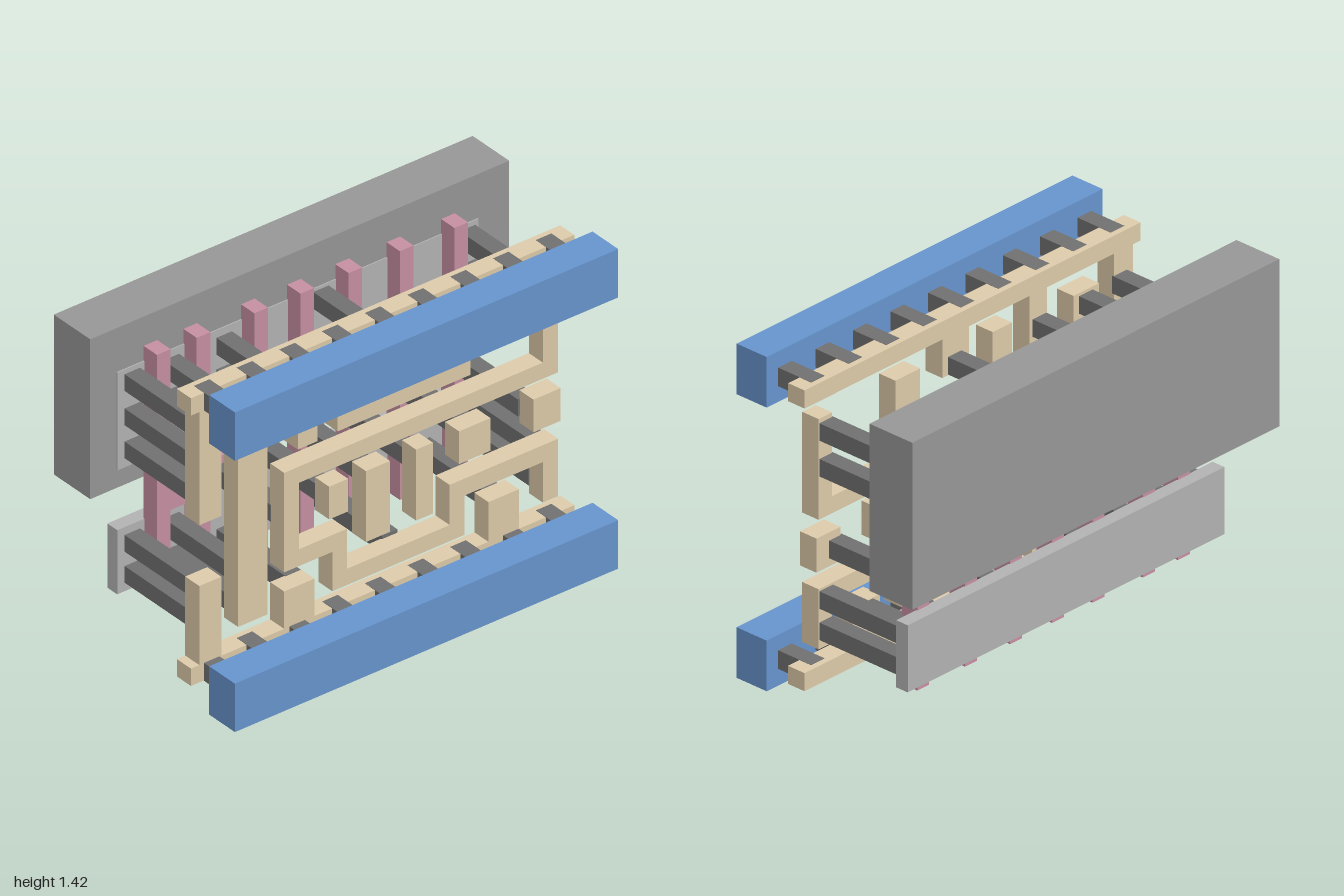
import * as THREE from 'three';

const mat = (color) => new THREE.MeshStandardMaterial({ color });

export function createModel() {
  const root = new THREE.Group();
  root.name = 'layeredCircuitCell';
  const blue = mat(0x6694cc), tan = mat(0xdccaa9), pink = mat(0xc58fa2);
  const wellGrey = mat(0x969696), stripGrey = mat(0xb2b2b2), dark = mat(0x707070);

  // box given by its limits on each axis
  const box = (name, m, x0, x1, y0, y1, z0, z1) => {
    const mesh = new THREE.Mesh(new THREE.BoxGeometry(x1 - x0, y1 - y0, z1 - z0), m);
    mesh.position.set((x0 + x1) / 2, (y0 + y1) / 2, (z0 + z1) / 2);
    mesh.name = name;
    root.add(mesh);
  };
  // flat wiring outline extruded through the wiring layer
  const W0 = 0.145, W1 = 0.23;
  const trace = (name, pts) => {
    const shape = new THREE.Shape(pts.map(([x, y]) => new THREE.Vector2(x, y)));
    const geo = new THREE.ExtrudeGeometry(shape, { depth: W1 - W0, bevelEnabled: false });
    const mesh = new THREE.Mesh(geo, tan);
    mesh.position.z = W0;
    mesh.name = name;
    root.add(mesh);
  };

  // back slab and the two strips
  box('backSlab', wellGrey, -1, 1, 0.685, 1.395, -0.49, -0.27);
  box('upperStrip', stripGrey, -0.875, 0.85, 0.765, 1.2, -0.325, -0.265);
  box('lowerStrip', stripGrey, -0.875, 0.85, 0.215, 0.5, -0.325, -0.265);

  // front power rails, their wiring bars and the pegs joining them
  for (const [y0, barY] of [[0, 0.072], [1.205, 1.273]]) {
    box('powerRail', blue, -0.915, 0.915, y0, y0 + 0.215, 0.34, 0.495);
    box('railBar', tan, -0.915, 0.915, barY, barY + 0.077, W0, W1);
    for (let i = -4; i <= 4; i++) {
      const x = i * 0.204;
      box('railPeg', dark, x - 0.037, x + 0.037, barY - 0.001, barY + 0.078, 0.17, 0.34);
    }
  }

  // gate bars with side pads at mid height
  const gates = [[-0.745, -0.37], [-0.555, -0.49], [-0.28, -0.165], [-0.06, 0.055],
    [0.17, 0.285], [0.415, 0.535], [0.675, 0.785]];
  gates.forEach(([x, padEnd]) => {
    box('gateBar', pink, x, x + 0.065, 0.16, 1.265, -0.27, -0.19);
    if (padEnd - x > 0.07) box('gatePad', pink, x + 0.065, padEnd, 0.55, 0.695, -0.27, -0.19);
  });

  // straight wiring pieces: x0, x1, y0, y1
  [[-0.875, -0.77, 0.77, 1.273], [-0.875, -0.77, 0.149, 0.5], [-0.69, -0.55, 0.245, 1.18],
    [-0.405, -0.31, 0.92, 1.273], [0.02, 0.165, 1.11, 1.273],
    [-0.47, -0.325, 0.149, 0.315], [0.505, 0.65, 0.149, 0.325],
    [-0.255, -0.165, 0.55, 0.695], [-0.08, 0.035, 0.38, 0.695], [0.16, 0.24, 0.38, 0.695],
    [0.365, 0.515, 0.55, 0.695], [0.72, 0.85, 0.55, 0.695],
  ].forEach((p) => box('wiringBlock', tan, ...p, W0, W1));

  // U-shaped wire
  trace('uWire', [[-0.215, 0.925], [0.42, 0.925], [0.42, 1.198], [0.285, 1.198], [0.285, 1],
    [-0.11, 1], [-0.11, 1.198], [-0.215, 1.198]]);

  // long winding wire
  trace('windingWire', [[-0.47, 0.4], [-0.24, 0.4], [-0.24, 0.225], [0.39, 0.225], [0.39, 0.4],
    [0.765, 0.4], [0.765, 0.22], [0.838, 0.22], [0.838, 0.475], [0.32, 0.475], [0.32, 0.297],
    [-0.17, 0.297], [-0.17, 0.475], [-0.4, 0.475], [-0.4, 0.77], [0.838, 0.77], [0.838, 1.198],
    [0.765, 1.198], [0.765, 0.842], [-0.47, 0.842]]);

  // pegs from the wiring back to the strips: x, then heights
  [[-0.803, 0.29, 0.428, 0.843, 0.99, 1.142], [-0.617, 0.285, 0.428, 0.99, 1.13],
    [-0.365, 0.28, 0.99, 1.13], [-0.142, 0.957], [0.347, 0.957], [0.097, 0.275, 1.15],
    [0.58, 0.285], [0.797, 0.295, 0.428, 0.99, 1.142],
  ].forEach(([x, ...ys]) => ys.forEach((y) => {
    box('stripPeg', dark, x - 0.037, x + 0.037, y - 0.037, y + 0.037, -0.27, W0 + 0.005);
  }));

  // pegs from the wiring through the gate pads
  for (const x of [-0.435, -0.212, -0.003, 0.2, 0.475, 0.745]) {
    box('gatePeg', dark, x - 0.036, x + 0.036, 0.585, 0.66, -0.272, W0 + 0.005);
  }
  return root;
}
